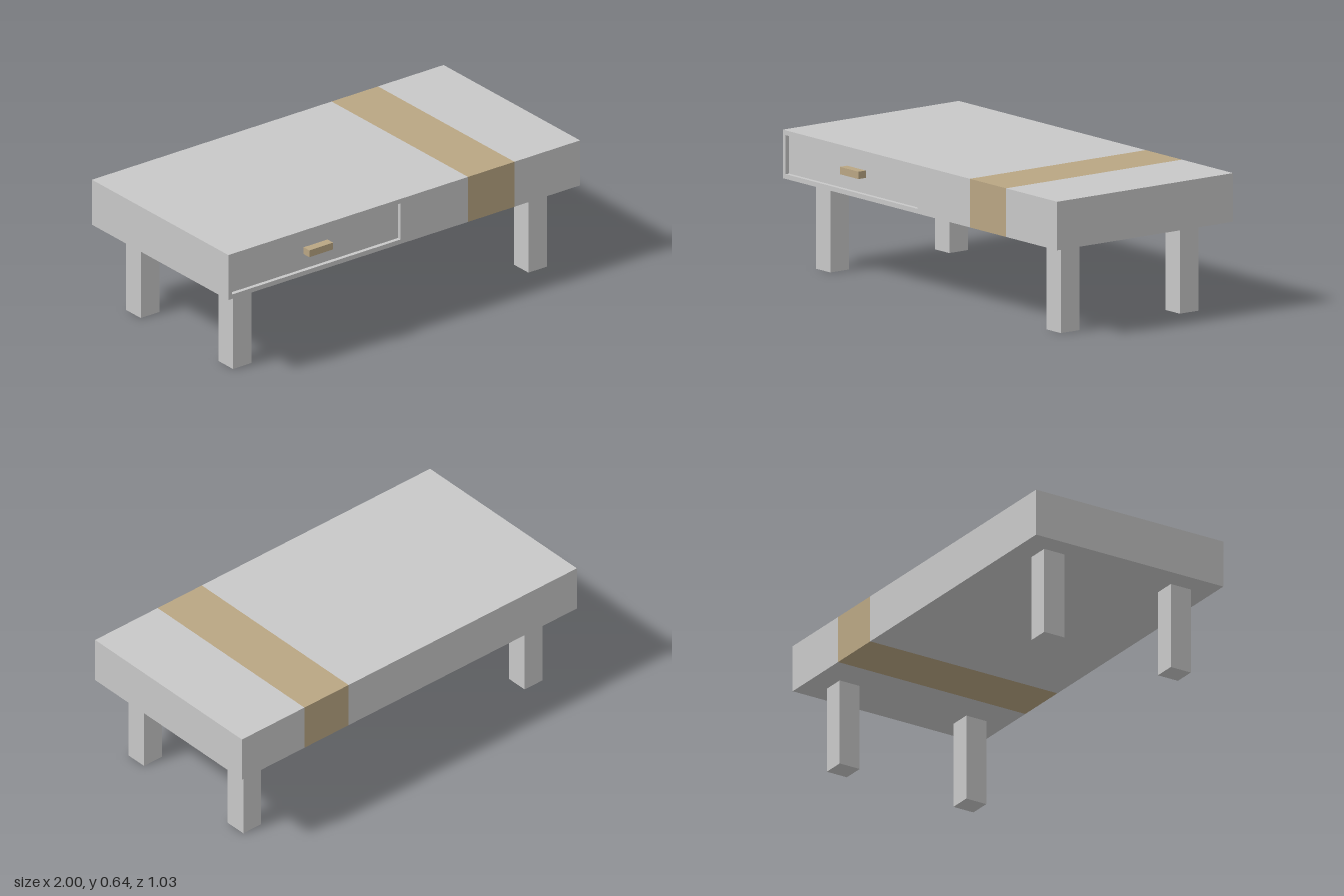
import * as THREE from 'three';

export function createModel() {
  const grey = new THREE.MeshStandardMaterial({ color: 0xc8c8c8 });
  grey.name = 'light grey';
  const tan = new THREE.MeshStandardMaterial({ color: 0xb9a683 });
  tan.name = 'tan';

  const table = new THREE.Group();
  table.name = 'coffeeTable';

  // Box given by its limits on each axis
  function box(name, material, [x0, x1], [y0, y1], [z0, z1]) {
    const mesh = new THREE.Mesh(new THREE.BoxGeometry(x1 - x0, y1 - y0, z1 - z0), material);
    mesh.position.set((x0 + x1) / 2, (y0 + y1) / 2, (z0 + z1) / 2);
    mesh.name = name;
    table.add(mesh);
  }

  const bottom = 0.413, top = 0.637, back = -0.515, front = 0.495;
  const recess = 0.02;
  const bandLeft = 0.363, bandRight = 0.627;

  // Table body, split where the coloured band runs around it
  box('bodyDrawerSide', grey, [-1, bandLeft], [bottom, top], [back, front - recess]);
  box('band', tan, [bandLeft, bandRight], [bottom, top], [back, front]);
  box('bodyPlainSide', grey, [bandRight, 1], [bottom, top], [back, front]);

  // Front frame with an opening that shows the set-back drawer front
  const rectangle = (path, x0, x1, y0, y1) =>
    path.moveTo(x0, y0).lineTo(x1, y0).lineTo(x1, y1).lineTo(x0, y1).closePath();
  const frame = rectangle(new THREE.Shape(), -1, bandLeft, bottom, top);
  frame.holes.push(rectangle(new THREE.Path(), -0.98, -0.02, 0.435, 0.615));
  const frameMesh = new THREE.Mesh(
    new THREE.ExtrudeGeometry(frame, { depth: recess, bevelEnabled: false }), grey);
  frameMesh.position.z = front - recess;
  frameMesh.name = 'drawerFrame';
  table.add(frameMesh);

  // Drawer handle
  box('drawerHandle', tan, [-0.557, -0.421], [0.508, 0.542], [front - recess, 0.517]);

  // Four square legs
  for (const [side, x] of [['Left', 0.84], ['Right', -0.84]]) {
    for (const [end, z] of [['front', 0.336], ['back', -0.347]]) {
      box(`${end}${side}Leg`, grey, [x - 0.053, x + 0.053], [0, bottom], [z - 0.054, z + 0.054]);
    }
  }

  return table;
}
